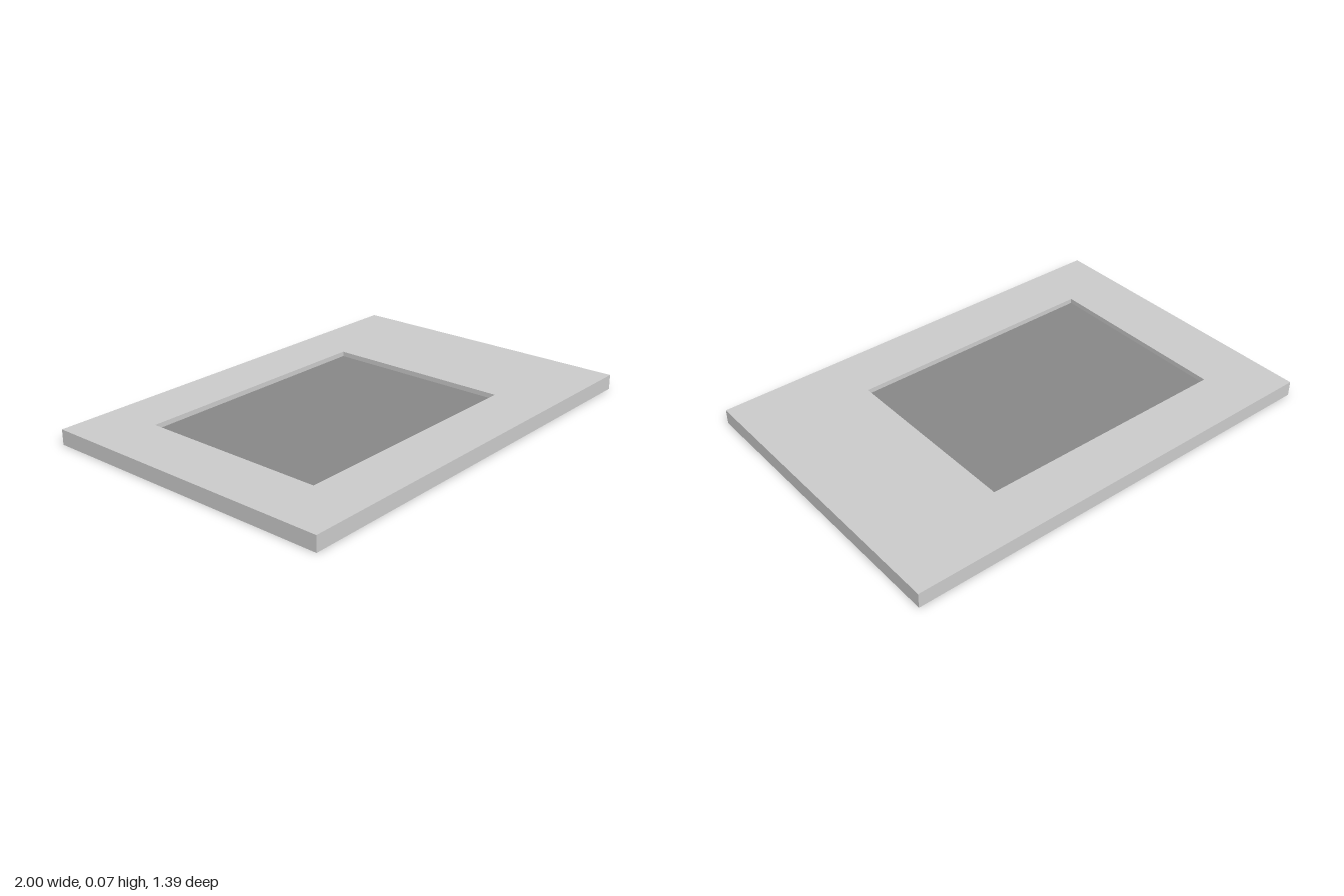
import * as THREE from 'three';

const WIDTH = 2, DEPTH = 1.386, HEIGHT = 0.068, FLOOR_Y = 0.046;
const OPENING = { x0: -0.725, x1: 0.455, z0: -0.44, z1: 0.432 };

// Rectangle corners, counter-clockwise in (x, -z)
function corners(x0, x1, z0, z1) {
  return [[x0, -z1], [x1, -z1], [x1, -z0], [x0, -z0]].map(([x, y]) => new THREE.Vector2(x, y));
}

export function createModel() {
  const group = new THREE.Group();
  const grey = new THREE.MeshStandardMaterial({ color: 0xcccccc, flatShading: true });
  const dark = new THREE.MeshStandardMaterial({ color: 0x888888, flatShading: true });
  const { x0, x1, z0, z1 } = OPENING;

  function add(name, geometry, material) {
    const mesh = new THREE.Mesh(geometry, material);
    mesh.name = name;
    group.add(mesh);
  }

  // Slab with an off-centre rectangular opening
  const outline = new THREE.Shape(corners(-WIDTH / 2, WIDTH / 2, -DEPTH / 2, DEPTH / 2));
  outline.holes.push(new THREE.Path(corners(x0, x1, z0, z1).reverse()));
  const frame = new THREE.ExtrudeGeometry(outline, { depth: HEIGHT, bevelEnabled: false });
  frame.rotateX(-Math.PI / 2);
  add('frame', frame, grey);

  // Sheets that close the opening: the recessed floor and the flat underside
  function sheet(y, tilt) {
    return new THREE.PlaneGeometry(x1 - x0, z1 - z0)
      .rotateX(tilt)
      .translate((x0 + x1) / 2, y, (z0 + z1) / 2);
  }
  add('recessedPanel', sheet(FLOOR_Y, -Math.PI / 2), dark);
  add('underside', sheet(0, Math.PI / 2), grey);

  return group;
}
